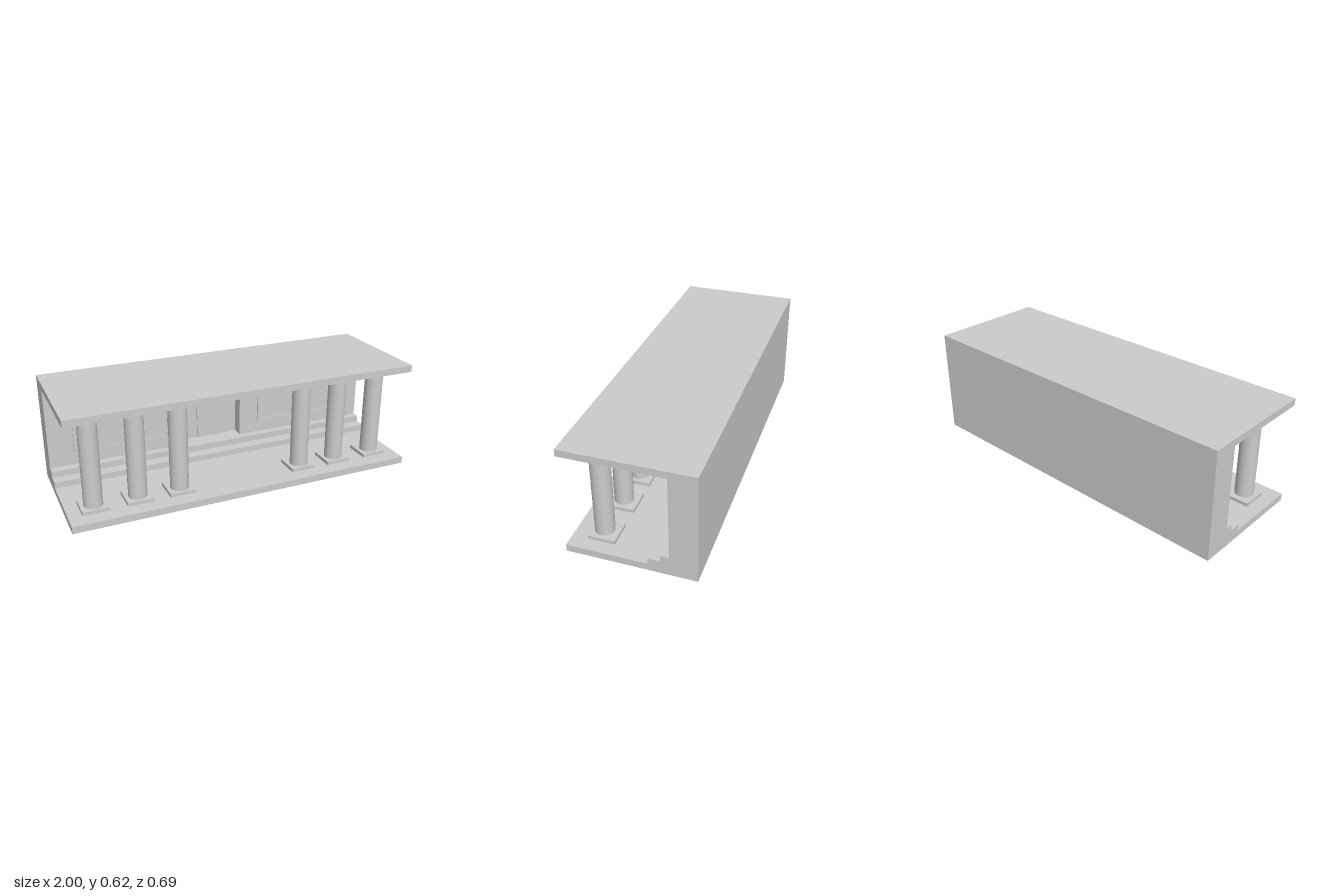
import * as THREE from 'three';

const material = new THREE.MeshStandardMaterial({ color: 0xcccccc });
const BACK = -0.345, FRONT = 0.345, WALL = -0.2, ALCOVE = -0.27;
const FLOOR = 0.04, PORCH = 0.112, CEILING = 0.583, TOP = 0.622;
const COLUMN_X = [-0.853, -0.61, -0.372, 0.37, 0.603, 0.853];
const PLINTH = 0.147, PLINTH_Z = 0.1865;

function addMesh(parent, name, geometry, x = 0, y = 0, z = 0) {
  const mesh = new THREE.Mesh(geometry, material);
  mesh.name = name;
  mesh.position.set(x, y, z);
  parent.add(mesh);
  return mesh;
}

const extrude = (shape, depth) =>
  new THREE.ExtrudeGeometry(shape, { depth, bevelEnabled: false });

function rectangle(Type, x0, y0, x1, y1) {
  return new Type([[x0, y0], [x1, y0], [x1, y1], [x0, y1]].map(p => new THREE.Vector2(...p)));
}

// Steps, back wall and roof share one side profile (z, y), swept along x
function shellSection(x0, x1, wallZ) {
  const profile = [
    [BACK, FLOOR], [-0.09, FLOOR], [-0.09, 0.075], [-0.155, 0.075], [-0.155, PORCH],
    [wallZ, PORCH], [wallZ, CEILING], [FRONT, CEILING], [FRONT, TOP], [BACK, TOP],
  ].map(p => new THREE.Vector2(...p));
  return extrude(new THREE.Shape(profile), x1 - x0).rotateY(-Math.PI / 2).translate(x1, 0, 0);
}

export function createModel() {
  const model = new THREE.Group();
  model.name = 'columnedPorch';

  // Floor slab with a square socket under each column
  const slab = rectangle(THREE.Shape, -1, -FRONT, 1, -BACK);
  const h = PLINTH / 2;
  for (const x of COLUMN_X) {
    slab.holes.push(rectangle(THREE.Path, x - h, -PLINTH_Z - h, x + h, -PLINTH_Z + h));
  }
  addMesh(model, 'floorSlab', extrude(slab, FLOOR).rotateX(-Math.PI / 2));

  // Shell, set back in the middle to form the entrance alcove
  addMesh(model, 'rightShell', shellSection(-1, -0.17, WALL));
  addMesh(model, 'entranceShell', shellSection(-0.17, 0.168, ALCOVE));
  addMesh(model, 'leftShell', shellSection(0.168, 1, WALL));

  // Columns with square plinth and capital
  for (const x of COLUMN_X) {
    const column = new THREE.Group();
    column.name = 'column';
    column.position.x = x;
    addMesh(column, 'plinth', new THREE.BoxGeometry(PLINTH, 0.04, PLINTH), 0, 0.04, PLINTH_Z);
    addMesh(column, 'shaft', new THREE.CylinderGeometry(0.052, 0.052, 0.503, 32), 0, 0.3115, 0.195);
    addMesh(column, 'capital', new THREE.BoxGeometry(PLINTH, 0.02, PLINTH), 0, 0.573, PLINTH_Z);
    model.add(column);
  }

  // Wide framed windows on both sides of the entrance
  for (const side of [-1, 1]) {
    const frame = rectangle(THREE.Shape, -0.285, -0.164, 0.285, 0.164);
    frame.holes.push(rectangle(THREE.Path, -0.27, -0.15, 0.27, 0.15));
    const window = new THREE.Group();
    window.name = side < 0 ? 'rightWindow' : 'leftWindow';
    window.position.set(side * 0.572, 0.347, WALL);
    addMesh(window, 'windowFrame', extrude(frame, 0.008));
    addMesh(window, 'windowPane', new THREE.BoxGeometry(0.54, 0.3, 0.004));
    model.add(window);
  }

  // Entrance door and its handle
  addMesh(model, 'door', new THREE.BoxGeometry(0.168, 0.28, 0.01), -0.004, PORCH + 0.14, ALCOVE + 0.002);
  addMesh(model, 'doorHandle', new THREE.BoxGeometry(0.018, 0.008, 0.012), -0.072, 0.25, ALCOVE + 0.012);

  return model;
}
